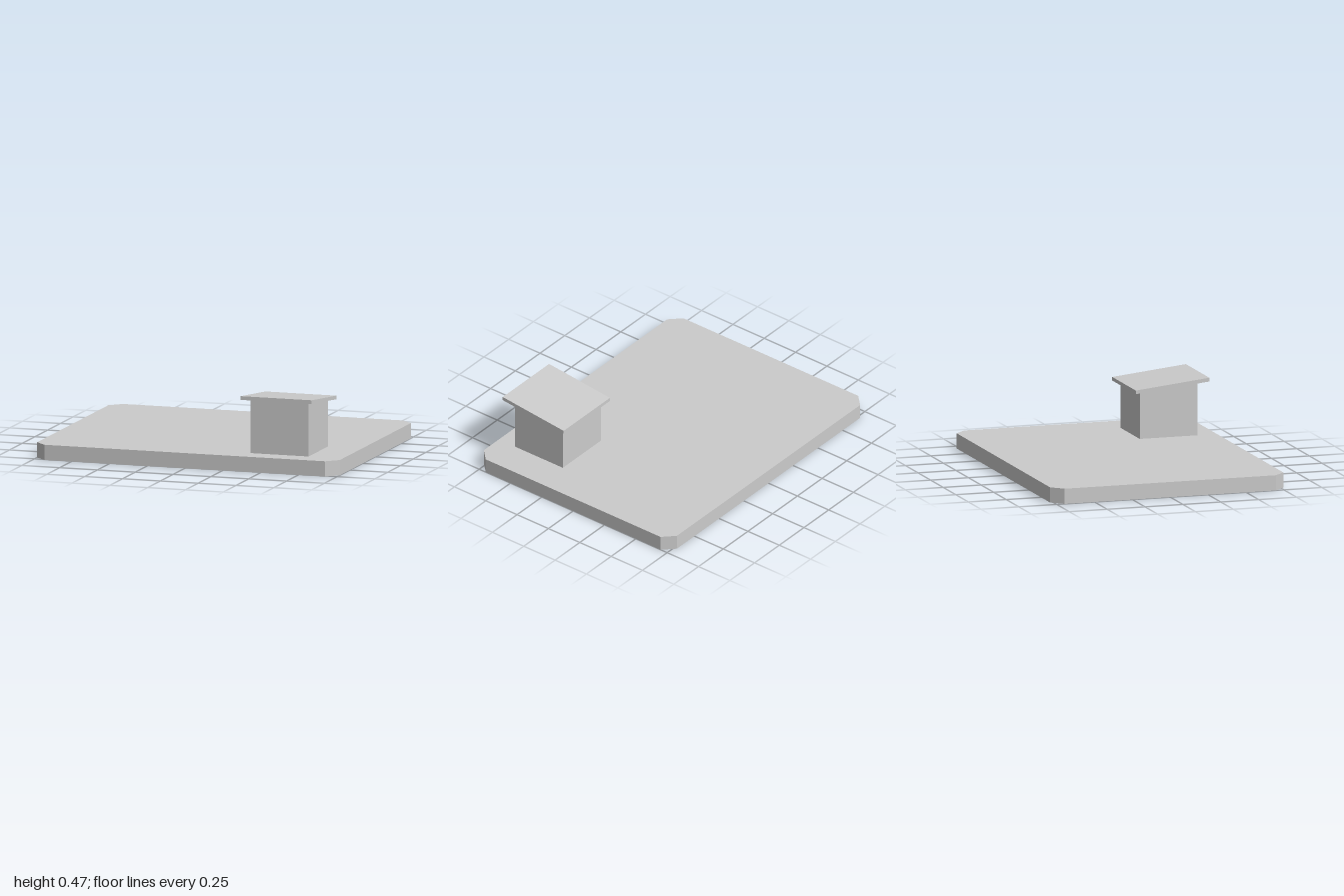
import * as THREE from 'three';

const material = new THREE.MeshStandardMaterial({ color: 0xcccccc, flatShading: true });
const sheetMaterial = new THREE.MeshStandardMaterial({ color: 0xcccccc, flatShading: true, side: THREE.DoubleSide });

// Deck outline, pulled in by an inset: a rectangle with cut corners
function outline(path, inset) {
  const hx = 1 - inset, hz = 0.77 - inset, c = 0.073;
  path.moveTo(-hx + c, -hz);
  [[hx - c, -hz], [hx, -hz + c], [hx, hz - c], [hx - c, hz],
    [-hx + c, hz], [-hx, hz - c], [-hx, -hz + c]].forEach(([x, z]) => path.lineTo(x, z));
  path.closePath();
  return path;
}

function addMesh(group, name, geometry, mat = material) {
  const mesh = new THREE.Mesh(geometry, mat);
  mesh.name = name;
  group.add(mesh);
}

// Frame following the deck outline, raised from y0 to y1
function frame(width, y0, y1) {
  const shape = outline(new THREE.Shape(), 0);
  shape.holes.push(outline(new THREE.Path(), width));
  return new THREE.ExtrudeGeometry(shape, { depth: y1 - y0, bevelEnabled: false })
    .rotateX(-Math.PI / 2).translate(0, y0, 0);
}

// Side profile of [z, y] points swept from x0 to x1
function sweepX(points, x0, x1) {
  const shape = new THREE.Shape(points.map(([z, y]) => new THREE.Vector2(z, y)));
  return new THREE.ExtrudeGeometry(shape, { depth: x1 - x0, bevelEnabled: false })
    .rotateY(-Math.PI / 2).translate(x1, 0, 0);
}

export function createModel() {
  const model = new THREE.Group();
  model.name = 'rooftop';

  // Thin deck on a thin edge, with a wider lip around the bottom
  const lip = 0.05, top = 0.097;
  const sheet = new THREE.ShapeGeometry(outline(new THREE.Shape(), 0))
    .rotateX(-Math.PI / 2).translate(0, top, 0);
  addMesh(model, 'deck', sheet, sheetMaterial);
  addMesh(model, 'deckEdge', frame(0.004, lip, top));
  addMesh(model, 'bottomLip', frame(0.05, 0, lip));

  // Hut whose walls follow the slope of its roof
  const hut = new THREE.Group();
  hut.name = 'hut';
  model.add(hut);
  addMesh(hut, 'hutWalls', sweepX([[0.26, top], [0.64, top], [0.64, 0.44], [0.26, 0.4]], 0.39, 0.775));
  addMesh(hut, 'hutRoof', sweepX([[0.22, 0.393], [0.706, 0.444], [0.706, 0.468], [0.22, 0.416]], 0.348, 0.817));

  return model;
}
